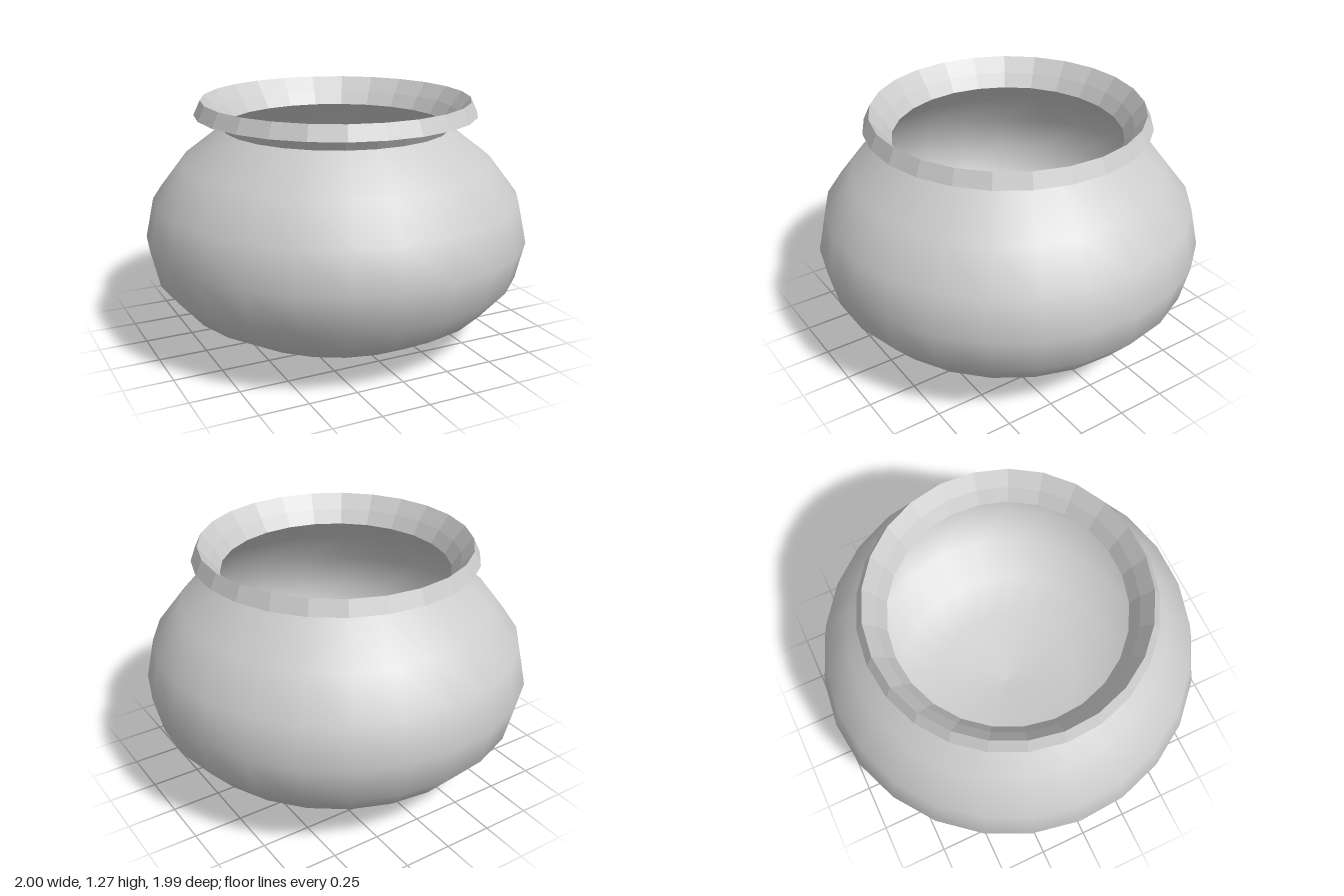
import * as THREE from 'three';

const SIDES = 25;

// Revolves [radius, height] pairs, with a corner facing the back
function revolve(name, profile, flatShading) {
  const points = profile.map(([r, y]) => new THREE.Vector2(r, y));
  const geometry = new THREE.LatheGeometry(points, SIDES, Math.PI);
  const material = new THREE.MeshStandardMaterial({
    color: 0xcccccc, flatShading, side: THREE.DoubleSide,
  });
  const mesh = new THREE.Mesh(geometry, material);
  mesh.name = name;
  return mesh;
}

export function createModel() {
  const group = new THREE.Group();
  group.name = 'pot';

  // Smooth, thin-walled round belly, open at the top
  group.add(revolve('body', [
    [0, 0], [0.4, 0.035], [0.63, 0.105], [0.82, 0.215], [0.955, 0.37],
    [1, 0.565], [0.955, 0.77], [0.805, 0.965], [0.59, 1.13],
  ], false));

  // Faceted flared neck, folded over into a short outer lip
  group.add(revolve('rim', [
    [0.59, 1.13], [0.635, 1.2], [0.695, 1.275], [0.73, 1.2],
  ], true));

  return group;
}
